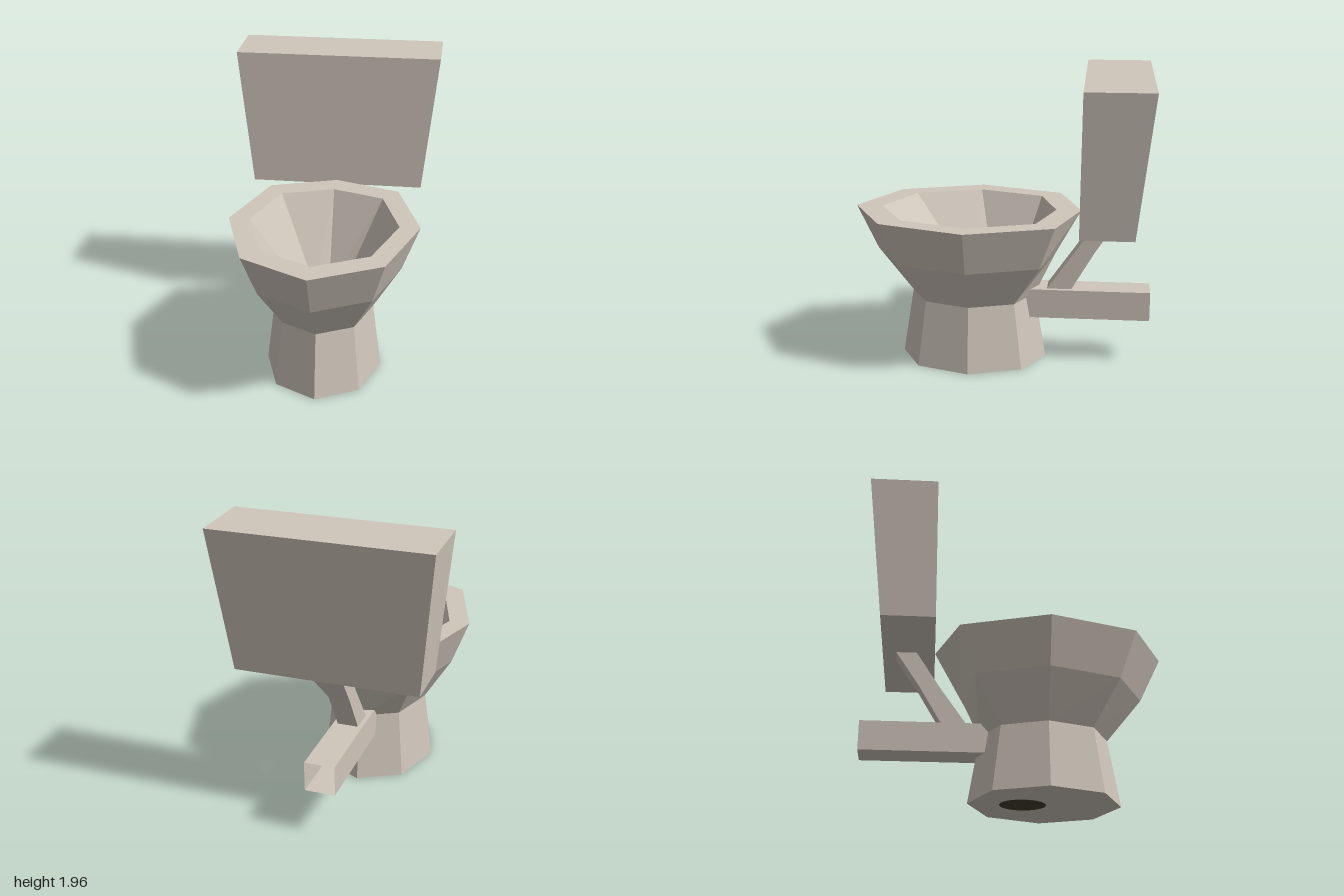
import * as THREE from 'three';

const ceramic = new THREE.MeshStandardMaterial({ color: 0xcfc6bb, flatShading: true });
ceramic.name = 'ceramic';
const pipeCeramic = ceramic.clone();
pipeCeramic.name = 'ceramicOpen';
pipeCeramic.side = THREE.DoubleSide;
const drainDark = new THREE.MeshStandardMaterial({ color: 0x443e2a, side: THREE.DoubleSide });
drainDark.name = 'drainDark';

// Skins a list of equal-length rings; rings run counter-clockwise seen from the end.
function loft(rings, capStart, capEnd) {
  const pos = [];
  const tri = (a, b, c) => pos.push(...a, ...b, ...c);
  const n = rings[0].length;
  for (let i = 0; i < rings.length - 1; i++) {
    for (let j = 0; j < n; j++) {
      const k = (j + 1) % n;
      const [a, b, c, d] = [rings[i][j], rings[i][k], rings[i + 1][k], rings[i + 1][j]];
      tri(a, b, c);
      tri(a, c, d);
    }
  }
  const first = rings[0], last = rings[rings.length - 1];
  for (let j = 1; j < n - 1; j++) {
    if (capStart) tri(first[0], first[j + 1], first[j]);
    if (capEnd) tri(last[0], last[j], last[j + 1]);
  }
  const geo = new THREE.BufferGeometry();
  geo.setAttribute('position', new THREE.Float32BufferAttribute(pos, 3));
  geo.computeVertexNormals();
  return geo;
}

// Eight-sided oval ring; the rearmost corner may be pulled to its own z.
function octagon(y, rx, rz, cz, backZ = cz - rz) {
  return Array.from({ length: 8 }, (_, i) => {
    const t = (i * Math.PI) / 4;
    return [rx * Math.sin(t), y, i === 4 ? backZ : cz + rz * Math.cos(t)];
  });
}

// Horizontal rectangle ring
const rect = (y, hx, zFront, zBack) =>
  [[-hx, y, zFront], [hx, y, zFront], [hx, y, zBack], [-hx, y, zBack]];

function add(group, name, geo, mat) {
  const mesh = new THREE.Mesh(geo, mat);
  mesh.name = name;
  group.add(mesh);
  return mesh;
}

export function createModel() {
  const model = new THREE.Group();
  model.name = 'toilet';

  // Pedestal and bowl: up the outside, over the rim and down the inside
  add(model, 'pedestal', loft([
    octagon(0, 0.393, 0.495, 0.2),
    octagon(0.45, 0.335, 0.42, 0.2),
  ], true, false), ceramic);
  add(model, 'bowl', loft([
    octagon(0.45, 0.335, 0.42, 0.2),
    octagon(0.745, 0.52, 0.66, 0.195, -0.36),
    octagon(1.045, 0.635, 0.803, 0.195, -0.527),
    octagon(1.045, 0.497, 0.622, 0.198, -0.36),
    octagon(0.42, 0.13, 0.148, 0.06),
  ], false, true), ceramic);

  // Dark drain opening in the bowl, and the outlet under the foot
  const pool = new THREE.Shape([
    [0, 0.085], [0.09, 0.06], [0.105, 0.03], [0.105, -0.14], [0.09, -0.17],
    [0, -0.21], [-0.09, -0.17], [-0.105, -0.14], [-0.105, 0.03], [-0.09, 0.06],
  ].map(([x, y]) => new THREE.Vector2(x, y)));
  add(model, 'drain', new THREE.ShapeGeometry(pool).rotateX(-Math.PI / 2), drainDark)
    .position.y = 0.425;
  const outlet = add(model, 'footOutlet',
    new THREE.CylinderGeometry(1, 1, 0.004, 32), drainDark);
  outlet.scale.set(0.11, 1, 0.15);
  outlet.position.set(0, 0, 0.06);

  // Tapered cistern
  add(model, 'cistern', loft([
    rect(1.017, 0.597, -0.528, -0.875),
    rect(1.957, 0.7, -0.54, -0.978),
  ], true, true), ceramic);

  // Bent flush pipe from the cistern down to the waste pipe
  add(model, 'flushPipe', loft([
    rect(0.5, 0.07, -0.3, -0.465),
    rect(0.775, 0.07, -0.493, -0.625),
    rect(1.02, 0.07, -0.65, -0.787),
  ], false, false), pipeCeramic);

  // Square waste pipe, open at the back
  const square = (z) => [[-0.1, 0.31, z], [0.1, 0.31, z], [0.1, 0.51, z], [-0.1, 0.51, z]];
  add(model, 'wastePipe', loft([square(-1), square(-0.14)], false, false), pipeCeramic);

  return model;
}
